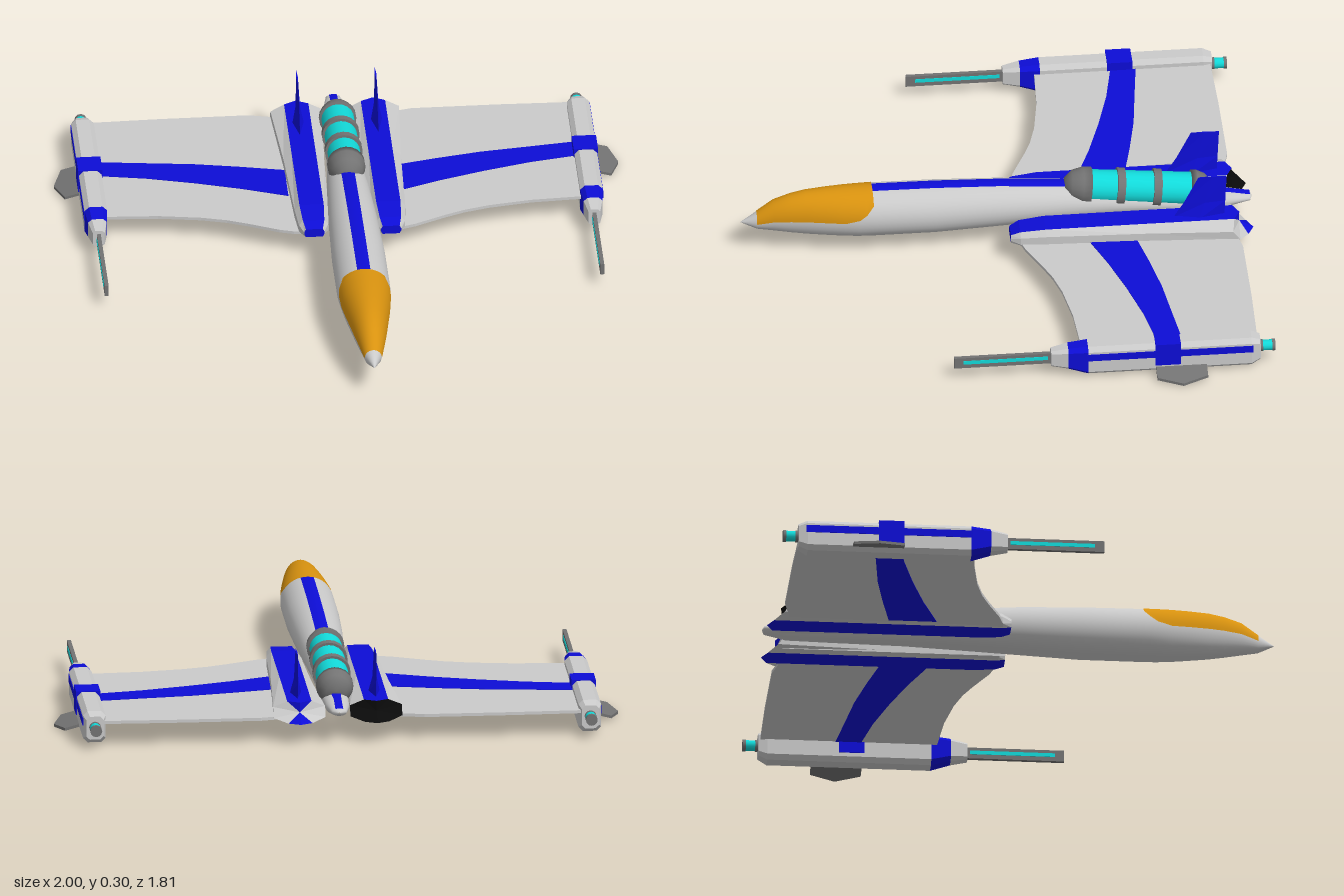
import * as THREE from 'three';

const mat = (name, color, extra = {}) => {
  const m = new THREE.MeshStandardMaterial({ color, ...extra });
  m.name = name;
  return m;
};

export function createModel() {
  const light = mat('light hull', 0xcacaca), dark = mat('dark metal', 0x737373);
  const blue = mat('blue paint', 0x0d0dd6), cyan = mat('cyan glow', 0x12dada);
  const orange = mat('orange canopy', 0xd8920f), black = mat('black exhaust', 0x0a0a0a);
  const mats = [light, blue, black];
  const model = new THREE.Group();
  model.name = 'starfighter';
  const CX = 0.016; // centre line of the hull

  const add = (name, geo, material, parent = model) => {
    const mesh = new THREE.Mesh(geo, material);
    mesh.name = name;
    parent.add(mesh);
    return mesh;
  };
  const box = (name, m, x0, x1, y0, y1, z0, z1, parent) => {
    const g = new THREE.BoxGeometry(Math.abs(x1 - x0), y1 - y0, z1 - z0);
    g.translate((x0 + x1) / 2, (y0 + y1) / 2, (z0 + z1) / 2);
    return add(name, g, m, parent);
  };

  // Faceted loft through rings of points; paint(i, j) picks an index into mats.
  // Row -1 is the front cap, row rings.length - 1 is the rear cap.
  const loft = (rings, paint) => {
    const buckets = mats.map(() => []);
    const n = rings[0].length;
    const put = (i, j, ...pts) => pts.forEach((p) => buckets[paint(i, j)].push(...p));
    const mid = (r) => [0, 1, 2].map((k) => r.reduce((s, p) => s + p[k], 0) / n);
    const last = rings.length - 1;
    for (let j = 0; j < n; j++) {
      const k = (j + 1) % n;
      for (let i = 0; i < last; i++) {
        const [a, b, c, d] = [rings[i][j], rings[i][k], rings[i + 1][k], rings[i + 1][j]];
        put(i, j, a, d, b, b, d, c);
      }
      put(-1, j, mid(rings[0]), rings[0][j], rings[0][k]);
      put(last, j, mid(rings[last]), rings[last][k], rings[last][j]);
    }
    const geo = new THREE.BufferGeometry();
    geo.setAttribute('position', new THREE.Float32BufferAttribute(buckets.flat(), 3));
    let start = 0;
    buckets.forEach((b, m) => {
      if (b.length) geo.addGroup(start, b.length / 3, m);
      start += b.length / 3;
    });
    geo.computeVertexNormals();
    return geo;
  };

  // Fuselage: z, top, bottom, half width
  const hull = [
    [0.907, 0.127, 0.126, 0.001], [0.85, 0.163, 0.1, 0.029], [0.79, 0.207, 0.09, 0.044],
    [0.73, 0.227, 0.08, 0.056], [0.675, 0.238, 0.072, 0.065], [0.6, 0.243, 0.065, 0.077],
    [0.54, 0.245, 0.06, 0.085], [0.49, 0.245, 0.058, 0.091], [0.465, 0.245, 0.058, 0.093],
    [0.44, 0.245, 0.058, 0.095], [0.22, 0.243, 0.058, 0.095], [0, 0.236, 0.068, 0.088],
    [-0.24, 0.22, 0.078, 0.075], [-0.4, 0.195, 0.084, 0.062], [-0.65, 0.155, 0.088, 0.05],
    [-0.82, 0.148, 0.09, 0.042], [-0.9, 0.133, 0.108, 0.026], [-0.907, 0.122, 0.119, 0.002],
  ];
  // Patch of hull skin between z0 and z1, from angle a(row) to PI - a(row)
  const skin = (z0, z1, angle, segs, off) => {
    const rows = hull.filter((r) => r[0] <= z0 && r[0] >= z1);
    const pos = [], idx = [];
    rows.forEach((row, i) => {
      const [z, t, b, w] = row, a = angle(row);
      for (let j = 0; j <= segs; j++) {
        const q = a + (Math.PI - 2 * a) * j / segs;
        pos.push(CX + Math.cos(q) * (w + off), (t + b) / 2 + Math.sin(q) * ((t - b) / 2 + off), z);
        if (i && j) {
          const c = i * (segs + 1) + j, p = c - segs - 1;
          idx.push(p - 1, c - 1, p, p, c - 1, c);
        }
      }
    });
    const g = new THREE.BufferGeometry();
    g.setAttribute('position', new THREE.Float32BufferAttribute(pos, 3));
    g.setIndex(idx);
    g.computeVertexNormals();
    return g;
  };
  add('fuselage', skin(1, -1, () => -Math.PI / 2, 32, 0), light);
  add('canopy', skin(0.85, 0.44, ([z]) => (z > 0.5 ? 0 : z > 0.48 ? 0.15 : z > 0.45 ? 0.35 : 0.7), 20, 0.002), orange);
  add('spineStripe', skin(0.44, -0.9, ([z, , , w]) => Math.acos((z < -0.7 ? 0.013 : 0.023) / w), 6, 0.002), blue);

  // Dorsal power capsule
  const capsule = new THREE.Group();
  capsule.name = 'dorsalCapsule';
  capsule.position.set(CX, 0.2, -0.33);
  capsule.rotation.x = -0.1;
  model.add(capsule);
  const barrelPart = (name, m, r, z0, z1, parent, segs = 20) => {
    const g = new THREE.CylinderGeometry(r, r, z1 - z0, segs).rotateX(Math.PI / 2);
    g.translate(0, 0, (z0 + z1) / 2);
    return add(name, g, m, parent);
  };
  const cap = (name, pts) => {
    const g = new THREE.LatheGeometry(pts.map((p) => new THREE.Vector2(...p)), 20).rotateX(Math.PI / 2);
    add(name, g, dark, capsule);
  };
  barrelPart('capsuleTube', cyan, 0.058, -0.37, 0, capsule);
  for (const z of [-0.11, -0.24]) barrelPart('capsuleRing', dark, 0.067, z - 0.014, z + 0.014, capsule);
  cap('capsuleNose', [[0, -0.005], [0.067, -0.005], [0.067, 0.025], [0.053, 0.065], [0.028, 0.088], [0, 0.09]]);
  cap('capsuleTail', [[0, -0.435], [0.035, -0.432], [0.055, -0.41], [0.066, -0.38], [0.066, -0.36], [0, -0.36]]);

  // Flat plate in the ground plane from [x, z] points
  const plate = (pts, y, h) => {
    const shape = new THREE.Shape(pts.map(([x, z]) => new THREE.Vector2(x, -z)));
    return new THREE.ExtrudeGeometry(shape, { depth: h, bevelEnabled: false })
      .rotateX(-Math.PI / 2).translate(0, y - h / 2, 0);
  };

  for (const s of [-1, 1]) {
    const side = new THREE.Group();
    side.name = s > 0 ? 'leftSide' : 'rightSide';
    model.add(side);

    // Wing with a swept stripe on both faces
    const mirror = (pts) => pts.map(([x, z]) => [s * x, z]);
    add('wing', plate(mirror([[0.08, -0.06], [0.19, -0.07], [0.24, -0.085], [0.35, -0.135], [0.42, -0.163],
      [0.51, -0.187], [0.66, -0.21], [0.85, -0.22], [0.85, -0.845], [0.6, -0.85], [0.29, -0.85],
      [0.2, -0.83], [0.08, -0.83]]), 0.088, 0.011), light, side);
    add('wingStripe', plate(mirror([[0.19, -0.305], [0.35, -0.365], [0.51, -0.415], [0.68, -0.46], [0.845, -0.49],
      [0.845, -0.58], [0.68, -0.56], [0.51, -0.54], [0.35, -0.51], [0.19, -0.475]]), 0.088, 0.015), blue, side);

    // Nacelle: z, stripe half width, half width, bottom, shoulder, top
    const nx = CX + s * 0.136;
    const nacelle = [
      [0.037, 0.03, 0.036, 0.088, 0.108, 0.12], [0.07, 0.038, 0.052, 0.08, 0.118, 0.136],
      [0.16, 0.043, 0.06, 0.078, 0.124, 0.145], [0.5, 0.043, 0.072, 0.078, 0.124, 0.146],
      [0.85, 0.043, 0.092, 0.078, 0.124, 0.146],
    ].map(([z, c, w, b, sh, t], i) => [
      [-c, b], [0, b], [c, b], [w, b + 0.012], [w, sh], [c, t], [0, t], [-c, t], [-w, sh], [-w, b + 0.012],
    ].map(([x, y]) => [nx + x, y,
      -z + (i === 4 ? 0.5 * Math.abs(x) - 0.05 * (t - y) / (t - b) : 0)]));
    add('nacelle', loft(nacelle, (i, j) => {
      if (i === -1) return 1;
      if (i === 4 && s < 0) return 2;
      return [0, 1, 5, 6].includes(j) ? 1 : 0;
    }), mats, side);

    // Tail fin: height, half thickness, leading z, trailing z
    const fin = [[0.305, 0.003, -0.705, -0.805], [0.2, 0.008, -0.653, -0.8], [0.14, 0.021, -0.615, -0.797]]
      .map(([y, t, a, b]) => [[0, a], [t, (a + b) / 2], [0, b], [-t, (a + b) / 2]]
        .map(([x, z]) => [CX + s * 0.139 + x, y, z]));
    add('tailFin', loft(fin, () => 1), mats, side);

    // Wingtip pod: z, half width, bottom, top
    const px = s * 0.878;
    const pod = [
      [-0.11, 0.021, 0.042, 0.105], [-0.17, 0.033, 0.032, 0.117], [-0.24, 0.04, 0.01, 0.124],
      [-0.82, 0.04, 0.01, 0.124], [-0.852, 0.031, 0.028, 0.112],
    ].map(([z, w, b, t]) => {
      const c = w * 0.4;
      return [[-w + c, b], [w - c, b], [w, b + c], [w, t - c], [w - c, t], [-w + c, t], [-w, t - c], [-w, b + c]]
        .map(([x, y]) => [px + x, y, z]);
    });
    add('wingtipPod', loft(pod, (i) => (i === 1 ? 1 : 0)), mats, side);
    box('podBand', blue, px - 0.043, px + 0.043, 0.04, 0.127, -0.568, -0.478, side);
    box('podStripe', blue, px + s * 0.036, px + s * 0.042, 0.073, 0.1, -0.825, -0.235, side);

    // Cannon blade with glowing strip
    box('cannon', dark, px - 0.007, px + 0.007, 0.05, 0.092, -0.13, 0.233, side);
    box('cannonStrip', cyan, px - 0.0085, px + 0.0085, 0.066, 0.08, -0.1, 0.2, side);

    // Rear thruster
    const thruster = new THREE.Group();
    thruster.name = 'thruster';
    thruster.position.set(px, 0.073, 0);
    side.add(thruster);
    barrelPart('thrusterGlow', cyan, 0.019, -0.897, -0.84, thruster, 12);
    barrelPart('thrusterRim', dark, 0.021, -0.906, -0.895, thruster, 12);
    barrelPart('thrusterCollar', dark, 0.021, -0.862, -0.85, thruster, 12);

    // Drooping outboard vane
    const vane = plate(mirror([[0.91, -0.48], [0.968, -0.48], [1, -0.57], [0.968, -0.66], [0.91, -0.66]]), 0, 0.01);
    const p = vane.attributes.position;
    for (let i = 0; i < p.count; i++) p.setY(i, p.getY(i) + 0.03 - (Math.abs(p.getX(i)) - 0.91) * 0.27);
    vane.computeVertexNormals();
    add('podVane', vane, dark, side);
  }
  return model;
}
